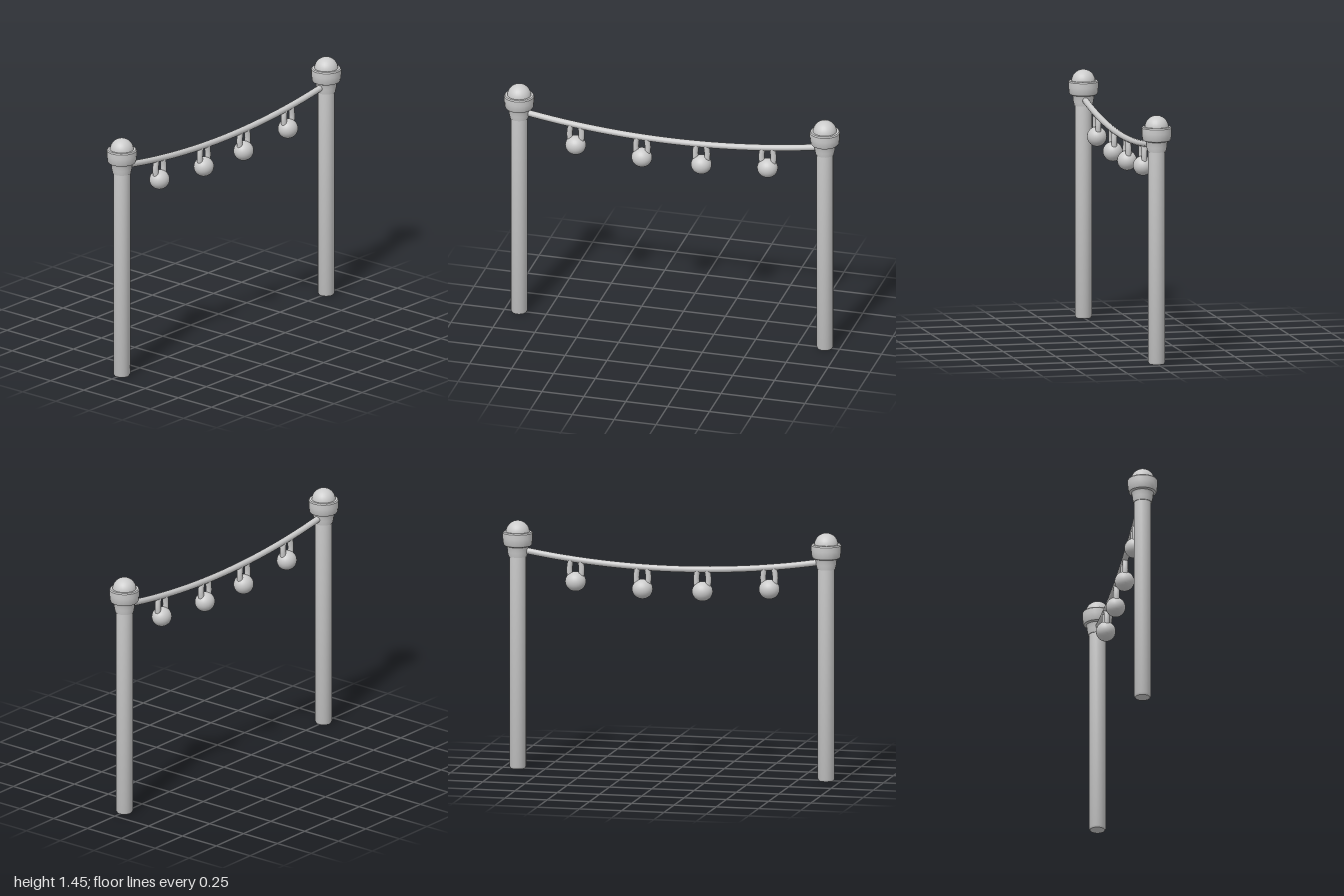
import * as THREE from 'three';
import { toCreasedNormals } from 'three/addons/utils/BufferGeometryUtils.js';

const material = new THREE.MeshStandardMaterial({ color: 0xcccccc });
const POST_Z = 0.912;

function add(parent, name, geometry) {
  const mesh = new THREE.Mesh(geometry, material);
  mesh.name = name;
  parent.add(mesh);
  return mesh;
}

// Turned part from [radius, height] pairs, listed bottom to top
function turned(profile, sides = 20) {
  const points = profile.map(([r, y]) => new THREE.Vector2(r, y));
  return toCreasedNormals(new THREE.LatheGeometry(points, sides), 0.6);
}

// Height of the sagging rope at a given z
const ropeY = (z) => 1.2 + 0.095 * z * z;

function createPost(z) {
  const post = new THREE.Group();
  post.name = 'post';
  post.position.z = z;
  add(post, 'shaft', turned([[0, 0], [0.043, 0], [0.049, 0.012], [0.049, 1.25], [0, 1.25]]));
  add(post, 'collar', turned([
    [0, 1.235], [0.053, 1.235], [0.059, 1.262], [0.061, 1.285], [0.065, 1.295],
    [0.078, 1.3], [0.083, 1.309], [0.087, 1.345], [0.087, 1.373], [0.082, 1.38], [0, 1.38],
  ]));
  const dome = add(post, 'dome', new THREE.SphereGeometry(0.069, 24, 10, 0, Math.PI * 2, 0, Math.PI / 2));
  dome.position.y = 1.376;
  return post;
}

// Round bulb hung from the rope by two short straps
function createBulb(z) {
  const bulb = new THREE.Group();
  bulb.name = 'hangingBulb';
  bulb.position.set(0, ropeY(z) - 0.128, z);
  const ball = add(bulb, 'ball', new THREE.SphereGeometry(0.057, 24, 16));
  ball.scale.z = 1.06;
  for (const side of [-1, 1]) {
    const path = new THREE.CatmullRomCurve3([
      new THREE.Vector3(0, 0.02, side * 0.032),
      new THREE.Vector3(0, 0.07, side * 0.036),
      new THREE.Vector3(0, 0.125, side * 0.029),
    ]);
    add(bulb, 'strap', new THREE.TubeGeometry(path, 8, 0.017, 10));
  }
  return bulb;
}

export function createModel() {
  const model = new THREE.Group();
  model.name = 'ropeBarrier';
  model.add(createPost(POST_Z), createPost(-POST_Z));

  // Sagging rope, ending inside the collars
  const ropePoints = [];
  for (let i = -4; i <= 4; i++) {
    const z = (i / 4) * 0.9;
    ropePoints.push(new THREE.Vector3(0, ropeY(z), z));
  }
  add(model, 'rope', new THREE.TubeGeometry(new THREE.CatmullRomCurve3(ropePoints), 40, 0.0185, 12));

  for (const z of [0.575, 0.18, -0.175, -0.57]) model.add(createBulb(z));
  return model;
}
